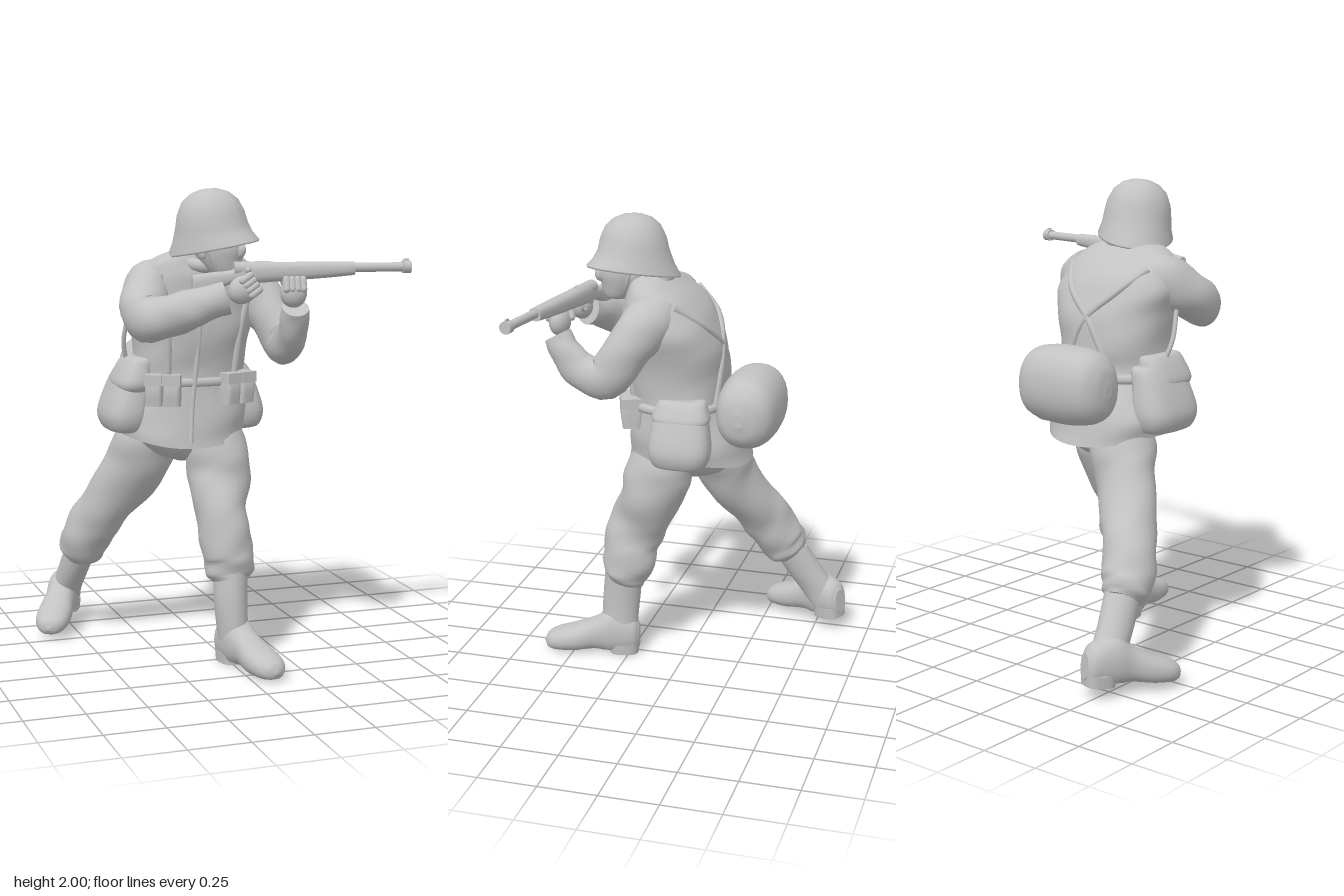
import * as THREE from 'three';

const V = (x, y, z) => new THREE.Vector3(x, y, z);
const UP = V(0, 1, 0), DOWN = V(0, -1, 0), RIGHT = V(1, 0, 0), FRONT = V(0, 0, 1);
const grey = new THREE.MeshStandardMaterial({ color: 0xc2c2c2 });
grey.name = 'plain grey';

function add(parent, name, geometry, pos = [0, 0, 0], rot = [0, 0, 0], scale = [1, 1, 1]) {
  const m = new THREE.Mesh(geometry, grey);
  m.name = name;
  m.position.set(...pos);
  m.rotation.set(...rot, 'YXZ');
  m.scale.set(...scale);
  parent.add(m);
  return m;
}

// rounded-square cosine / sine
const soft = (v, e) => Math.sign(v) * Math.pow(Math.abs(v), e);

// Smooth closed skin over sections [x, y, z, radiusU, radiusV].
// With dir all rings share one plane direction, otherwise they follow the path.
function loft(sections, { dir = null, ref = dir && dir.y ? FRONT : UP, e = 1, n = 28, sub = 5, fold = 0, floor = -1 } = {}) {
  const path = new THREE.CatmullRomCurve3(sections.map(s => V(s[0], s[1], s[2])), false, 'catmullrom', 0.5);
  const size = new THREE.CatmullRomCurve3(sections.map(s => V(s[3], s[4], 0)), false, 'catmullrom', 0.5);
  const rows = (sections.length - 1) * sub, pos = [], idx = [];
  const ring = i => {
    const t = i / rows, c = path.getPoint(t), r = size.getPoint(t);
    const T = dir || path.getTangent(t);
    const W = ref.clone().cross(T).normalize();
    const N = T.clone().cross(W);
    for (let j = 0; j < n; j++) {
      const a = j / n * Math.PI * 2;
      const f = 1 + fold * (Math.sin(2 * a + t * 23) + 0.6 * Math.sin(3 * a - t * 37));
      const p = c.clone().addScaledVector(W, r.x * f * soft(Math.cos(a), e))
        .addScaledVector(N, r.y * f * soft(Math.sin(a), e));
      pos.push(p.x, Math.max(p.y, floor), p.z);
    }
  };
  for (let i = 0; i <= rows; i++) ring(i);
  for (let i = 0; i < rows; i++) for (let j = 0; j < n; j++) {
    const a = i * n + j, b = i * n + (j + 1) % n;
    idx.push(a, b, a + n, b, b + n, a + n);
  }
  for (const end of [0, rows]) {
    const s = pos.length / 3;
    ring(end);
    const c = sections[end ? sections.length - 1 : 0];
    pos.push(c[0], Math.max(c[1], floor), c[2]);
    for (let j = 0; j < n; j++) {
      const a = s + j, b = s + (j + 1) % n;
      idx.push(s + n, end ? a : b, end ? b : a);
    }
  }
  const g = new THREE.BufferGeometry();
  g.setAttribute('position', new THREE.Float32BufferAttribute(pos, 3));
  g.setIndex(idx);
  g.computeVertexNormals();
  return g;
}

const TORSO = [
  [-0.13, 0.945, 0.005, 0.262, 0.268], [-0.125, 1.05, 0.01, 0.272, 0.25], [-0.1, 1.2, 0.04, 0.24, 0.2],
  [-0.1, 1.32, 0.05, 0.235, 0.21], [-0.09, 1.45, 0.065, 0.26, 0.21], [-0.09, 1.56, 0.085, 0.275, 0.19],
  [-0.09, 1.65, 0.115, 0.25, 0.15], [-0.09, 1.715, 0.15, 0.185, 0.1], [-0.08, 1.76, 0.18, 0.07, 0.06]];

// point on the jacket at an angle (degrees, 90 = front) and height
function onTorso(deg, y, off = 0) {
  let i = 0;
  while (i < TORSO.length - 2 && TORSO[i + 1][1] < y) i++;
  const k = (y - TORSO[i][1]) / (TORSO[i + 1][1] - TORSO[i][1]);
  const [cx, , cz, rx, rz] = TORSO[i].map((v, q) => v + (TORSO[i + 1][q] - v) * k);
  const a = deg * Math.PI / 180;
  return V(cx + (rx + off) * soft(Math.cos(a), 0.85), y, cz + (rz + off) * soft(Math.sin(a), 0.85));
}
const tube = (pts, r) => new THREE.TubeGeometry(new THREE.CatmullRomCurve3(pts), 24, r, 8);

function buildRifle() {
  const g = new THREE.Group();
  g.name = 'rifle';
  add(g, 'stock', loft([[-0.2, -0.06, 0, 0.022, 0.05], [-0.12, -0.04, 0, 0.024, 0.04], [-0.04, -0.02, 0, 0.024, 0.028],
    [0.04, -0.005, 0, 0.034, 0.042], [0.2, 0, 0, 0.034, 0.038], [0.35, 0.004, 0, 0.032, 0.033], [0.47, 0.008, 0, 0.027, 0.027]],
    { dir: RIGHT, e: 0.8, n: 20 }));
  const rod = (name, r, x0, x1) =>
    add(g, name, new THREE.CylinderGeometry(r, r, x1 - x0, 16), [(x0 + x1) / 2, 0.012, 0], [0, 0, Math.PI / 2]);
  rod('barrel', 0.019, 0.3, 0.68);
  rod('muzzle', 0.026, 0.675, 0.708);
  rod('receiver', 0.03, -0.03, 0.12);
  add(g, 'frontSight', new THREE.BoxGeometry(0.02, 0.02, 0.008), [0.69, 0.035, 0]);
  add(g, 'triggerGuard', new THREE.TorusGeometry(0.028, 0.006, 8, 20), [0.04, -0.05, 0]);
  add(g, 'boltHandle', new THREE.SphereGeometry(0.014, 12, 8), [0.02, 0.01, 0.045]);
  g.position.set(0, 1.67, 0.425);
  g.rotation.y = -0.155;
  return g;
}

function buildShoe(name, pos, yaw, pitch) {
  const g = new THREE.Group();
  g.name = name;
  add(g, 'shoe', loft([[0, 0.08, -0.09, 0.035, 0.055], [0, 0.09, -0.06, 0.062, 0.085], [0, 0.1, 0.03, 0.07, 0.105],
    [0, 0.085, 0.11, 0.066, 0.075], [0, 0.063, 0.2, 0.077, 0.062], [0, 0.052, 0.28, 0.071, 0.05], [0, 0.044, 0.325, 0.045, 0.034],
    [0, 0.04, 0.342, 0.006, 0.006]], { dir: FRONT, e: 0.9, floor: 0.012 }));
  add(g, 'heel', loft([[0, 0, -0.02, 0.06, 0.065], [0, 0.05, -0.02, 0.064, 0.07]], { dir: UP, e: 0.7 }));
  g.position.set(...pos);
  g.rotation.set(pitch, yaw, 0, 'YXZ');
  return g;
}

// palm with four curled fingers
function buildHand(name, pos, rot) {
  const g = new THREE.Group();
  g.name = name;
  add(g, 'palm', new THREE.SphereGeometry(0.056, 18, 12), [0, 0, 0], [0, 0, 0], [1, 1.1, 0.8]);
  for (let i = 0; i < 4; i++)
    add(g, 'finger', new THREE.CapsuleGeometry(0.015, 0.04, 4, 10), [-0.035 + i * 0.023, 0.036, 0.026], [-0.35, 0, 0]);
  add(g, 'thumb', new THREE.CapsuleGeometry(0.015, 0.04, 4, 10), [-0.03, 0.035, -0.04], [0.2, 0, 0.3]);
  g.position.set(...pos);
  g.rotation.set(...rot);
  return g;
}

export function createModel() {
  const model = new THREE.Group();
  model.name = 'infantryman';

  // jacket, belt and harness; the hem dips at the front and rises at the sides
  const jacket = loft(TORSO, { dir: UP, e: 0.85, n: 48, sub: 8, fold: 0.012 });
  const jp = jacket.attributes.position;
  for (let i = 0; i < jp.count; i++) {
    const low = THREE.MathUtils.clamp((1.1 - jp.getY(i)) / 0.15, 0, 1), side = Math.abs(jp.getX(i) + 0.13) / 0.26;
    jp.setY(i, jp.getY(i) + low * (0.04 * side * side - 0.02));
  }
  jacket.computeVertexNormals();
  add(model, 'jacket', jacket);
  const ringAt = (y, off) => Array.from({ length: 24 }, (_, i) => onTorso(i * 15, y, off));
  const belt = new THREE.CatmullRomCurve3(ringAt(1.2, -0.006), true);
  add(model, 'belt', new THREE.TubeGeometry(belt, 60, 0.022, 8, true));
  for (const s of [1, -1]) {
    const strap = pts => tube(pts.map(([d, y]) => onTorso(d, y, -0.004)), 0.017);
    add(model, 'backStrap', strap([[-90 + s * 52, 1.65], [-90 + s * 22, 1.56], [-90 - s * 4, 1.42], [-90 - s * 28, 1.2]]));
    add(model, 'frontStrap', strap([[90 + s * 48, 1.65], [90 + s * 40, 1.56], [90 + s * 36, 1.4], [90 + s * 34, 1.2]]));
  }
  add(model, 'jacketOpening', tube([1.62, 1.45, 1.3, 1.1, 0.95].map(y => onTorso(95, y, -0.006)), 0.011));
  add(model, 'collar', new THREE.TorusGeometry(0.09, 0.028, 12, 28), [-0.08, 1.71, 0.18], [Math.PI / 2 + 0.3, 0, 0]);

  // head and helmet, turned toward the rifle
  add(model, 'neck', loft([[-0.09, 1.6, 0.16, 0.08, 0.08], [-0.05, 1.78, 0.24, 0.08, 0.08]], { dir: UP }));
  const head = new THREE.Group();
  head.name = 'head';
  add(head, 'face', loft([[0, -0.13, 0.055, 0.025, 0.03], [0, -0.115, 0.055, 0.05, 0.06], [0, -0.06, 0.035, 0.078, 0.095],
    [0, 0, 0.02, 0.09, 0.12], [0, 0.1, 0, 0.09, 0.11]], { dir: UP }));
  add(head, 'nose', new THREE.SphereGeometry(0.022, 12, 10), [0, -0.02, 0.138], [0.3, 0, 0], [0.8, 1.4, 1]);
  for (const s of [1, -1]) {
    add(head, 'ear', new THREE.SphereGeometry(0.028, 12, 10), [s * 0.088, -0.02, 0.01], [0, 0, 0], [0.4, 1.2, 0.8]);
    add(head, 'chinStrap', tube([V(s * 0.095, 0.03, 0.03), V(s * 0.076, -0.05, 0.045), V(s * 0.035, -0.122, 0.06)], 0.008));
  }
  const profile = [[0, 0.03], [0.13, 0.02], [0.162, -0.012], [0.17, -0.018], [0.172, -0.01], [0.156, 0.03], [0.146, 0.08],
    [0.137, 0.13], [0.115, 0.18], [0.08, 0.212], [0.04, 0.227], [0, 0.23]].map(p => new THREE.Vector2(...p));
  const shell = new THREE.LatheGeometry(profile, 40);
  const hp = shell.attributes.position;
  for (let i = 0; i < hp.count; i++) {          // longer visor and neck guard, rim rising to the front
    const low = THREE.MathUtils.clamp((0.09 - hp.getY(i)) / 0.1, 0, 1), z = hp.getZ(i);
    hp.setZ(i, z * (1.03 + 0.16 * low));
    hp.setX(i, hp.getX(i) * (1 - 0.05 * low));
    hp.setY(i, hp.getY(i) + low * z * 0.17);
  }
  shell.computeVertexNormals();
  add(head, 'helmet', shell, [0.012, 0, -0.01], [-0.02, 0, 0.1]);
  head.position.set(-0.06, 1.77, 0.255);
  head.rotation.y = 0.62;
  model.add(head);

  // arms
  add(model, 'rightSleeve', loft([[-0.2, 1.61, 0.11, 0.1, 0.1], [-0.29, 1.59, 0.13, 0.11, 0.112], [-0.35, 1.53, 0.22, 0.097, 0.102],
    [-0.36, 1.48, 0.31, 0.085, 0.095], [-0.27, 1.5, 0.38, 0.078, 0.085], [-0.17, 1.54, 0.425, 0.068, 0.074], [-0.07, 1.57, 0.455, 0.058, 0.066]],
    { fold: 0.03 }));
  add(model, 'leftSleeve', loft([[0.06, 1.61, 0.1, 0.1, 0.1], [0.145, 1.57, 0.13, 0.105, 0.108], [0.21, 1.47, 0.2, 0.087, 0.1],
    [0.235, 1.36, 0.28, 0.07, 0.09], [0.23, 1.385, 0.385, 0.062, 0.08], [0.22, 1.455, 0.455, 0.06, 0.07], [0.21, 1.525, 0.495, 0.056, 0.058]],
    { fold: 0.03 }));
  model.add(buildHand('rightHand', [-0.005, 1.6, 0.46], [0, -0.2, -1.0]));
  model.add(buildHand('leftHand', [0.205, 1.585, 0.485], [0, -0.15, 0]));
  model.add(buildRifle());

  // trousers, boots and shoes
  const cloth = { ref: FRONT, fold: 0.03 };
  add(model, 'leftTrouser', loft([[-0.01, 1.02, 0.06, 0.1, 0.13], [0.0, 0.9, 0.11, 0.135, 0.145], [0.005, 0.78, 0.145, 0.132, 0.138],
    [-0.01, 0.65, 0.205, 0.11, 0.128], [-0.005, 0.54, 0.245, 0.106, 0.125], [0.01, 0.45, 0.255, 0.108, 0.118], [0.01, 0.385, 0.268, 0.1, 0.1],
    [0.01, 0.35, 0.277, 0.074, 0.085]], cloth));
  add(model, 'rightTrouser', loft([[-0.2, 1.02, -0.06, 0.12, 0.13], [-0.25, 0.9, -0.095, 0.145, 0.13], [-0.295, 0.78, -0.135, 0.135, 0.118],
    [-0.385, 0.62, -0.225, 0.115, 0.112], [-0.435, 0.52, -0.285, 0.11, 0.116], [-0.465, 0.43, -0.335, 0.108, 0.11],
    [-0.475, 0.385, -0.37, 0.098, 0.098], [-0.48, 0.36, -0.39, 0.07, 0.074]], cloth));
  add(model, 'seat', loft([[-0.12, 1.0, 0, 0.21, 0.22], [-0.12, 0.93, 0, 0.19, 0.19], [-0.12, 0.87, 0, 0.12, 0.14],
    [-0.12, 0.835, 0.005, 0.03, 0.04]], { dir: DOWN }));
  add(model, 'leftBoot', loft([[0.01, 0.4, 0.28, 0.07, 0.085], [0.005, 0.28, 0.292, 0.07, 0.085], [0.01, 0.17, 0.3, 0.066, 0.083],
    [0.02, 0.08, 0.3, 0.066, 0.083]], { dir: DOWN }));
  add(model, 'rightBoot', loft([[-0.47, 0.4, -0.37, 0.07, 0.085], [-0.49, 0.28, -0.44, 0.068, 0.09], [-0.505, 0.18, -0.51, 0.066, 0.09],
    [-0.505, 0.1, -0.55, 0.062, 0.075]], { dir: DOWN }));
  model.add(buildShoe('leftShoe', [0.02, 0, 0.3], 0.2, 0));
  model.add(buildShoe('rightShoe', [-0.505, 0.05, -0.55], -0.47, 0.11));

  // pack roll, side bags and belt pouches
  add(model, 'packRoll', loft([[-0.31, 1.18, -0.265, 0.02, 0.03], [-0.295, 1.18, -0.268, 0.08, 0.1], [-0.24, 1.185, -0.275, 0.125, 0.15],
    [-0.1, 1.185, -0.275, 0.138, 0.166], [0.04, 1.185, -0.275, 0.125, 0.15], [0.1, 1.18, -0.268, 0.085, 0.1], [0.12, 1.18, -0.265, 0.02, 0.03]],
    { dir: RIGHT, e: 0.9 }));
  // bags bulge low and lean in toward the belt
  const bag = (name, x, lean, y, z, w, h, d) => add(model, name, loft([[x, y - h * 0.5, z, w * 0.25, d * 0.3],
    [x, y - h * 0.44, z, w * 0.42, d * 0.43], [x, y - h * 0.2, z, w * 0.5, d * 0.5], [x + lean * 0.5, y + h * 0.2, z, w * 0.42, d * 0.45],
    [x + lean, y + h * 0.45, z, w * 0.34, d * 0.4], [x + lean, y + h * 0.5, z, w * 0.2, d * 0.3]], { dir: UP, e: 0.75 }));
  bag('rightBag', -0.385, 0.05, 1.12, 0.02, 0.19, 0.28, 0.33);
  bag('rightBagFlap', -0.36, 0.03, 1.225, 0.05, 0.15, 0.15, 0.28);
  bag('leftBag', 0.155, -0.04, 1.105, -0.02, 0.18, 0.28, 0.27);
  bag('leftBagFlap', 0.13, -0.02, 1.2, -0.02, 0.15, 0.11, 0.25);
  add(model, 'bagStrap', tube([V(-0.38, 1.48, 0.1), V(-0.39, 1.36, 0.06), V(-0.36, 1.24, 0.02)], 0.01));
  for (const [x, z, yaw] of [[-0.26, 0.205, -0.45], [0.05, 0.225, 0.35]]) {
    const g = new THREE.Group();
    g.name = 'beltPouches';
    for (const s of [-1, 1]) {
      add(g, 'pouch', loft([[0, -0.065, 0, 0.036, 0.04], [0, 0, 0, 0.037, 0.047], [0, 0.06, 0, 0.034, 0.038]], { dir: UP, e: 0.45 }), [s * 0.038, 0, 0]);
      add(g, 'pouchFlap', new THREE.BoxGeometry(0.074, 0.045, 0.094), [s * 0.038, 0.045, 0]);
    }
    g.position.set(x, 1.17, z);
    g.rotation.y = yaw;
    model.add(g);
  }
  return model;
}
